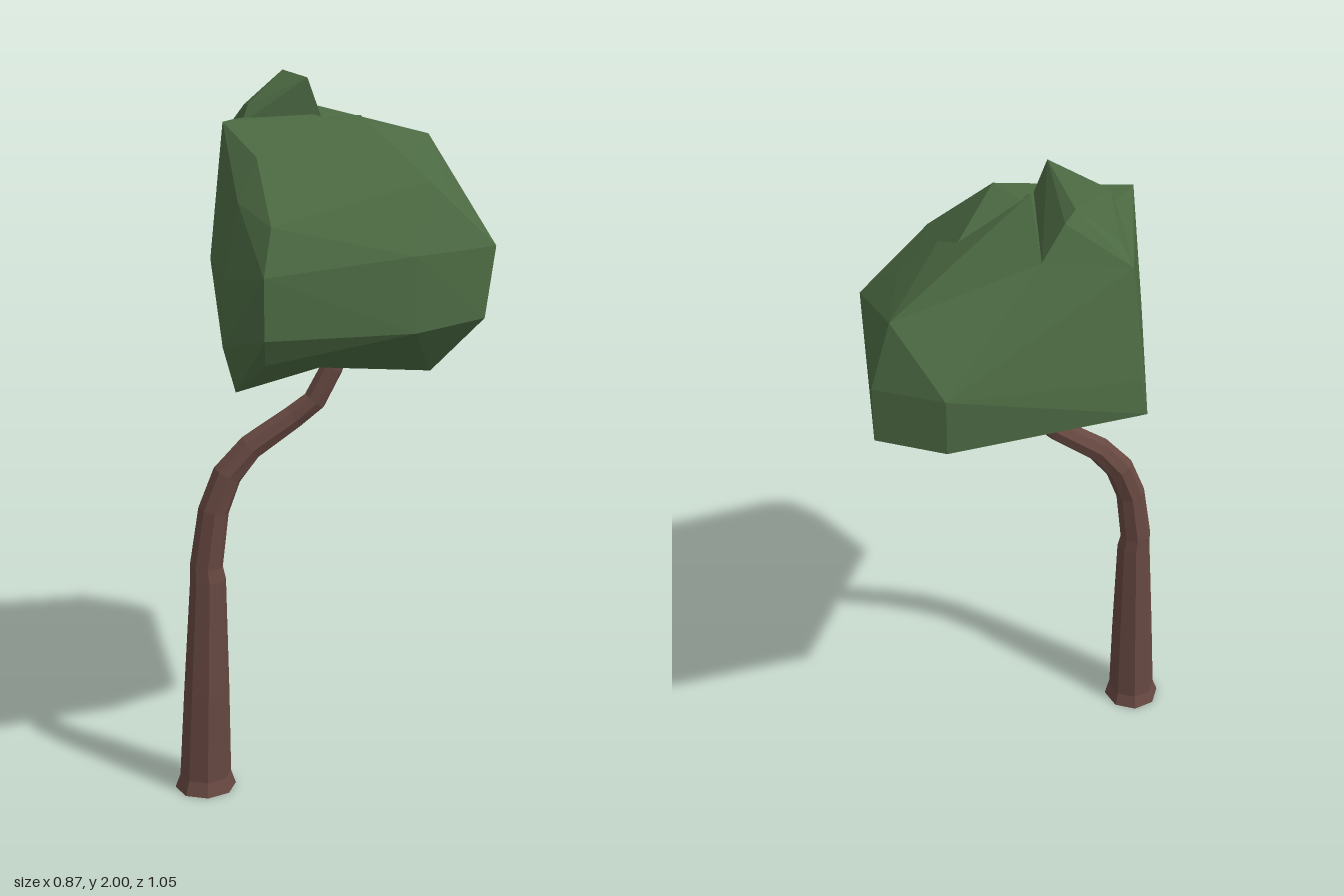
import * as THREE from 'three';
import { ConvexGeometry } from 'three/addons/geometries/ConvexGeometry.js';

const SIDES = 8;

function material(color) {
  return new THREE.MeshStandardMaterial({ color, flatShading: true });
}

// Low-poly tapered tube: each ring is [x, y, z, radius], turned to face along the path
function taperedTube(rings) {
  const points = rings.map(([x, y, z]) => new THREE.Vector3(x, y, z));
  const positions = [];
  const index = [];
  const last = rings.length - 1;
  points.forEach((p, i) => {
    const tangent = i < 2
      ? new THREE.Vector3(0, 1, 0)
      : points[Math.min(i + 1, last)].clone().sub(points[i - 1]).normalize();
    const side = new THREE.Vector3().crossVectors(tangent, new THREE.Vector3(0, 0, 1)).normalize();
    const front = new THREE.Vector3().crossVectors(side, tangent);
    for (let k = 0; k < SIDES; k++) {
      const a = ((k + 0.5) / SIDES) * Math.PI * 2;
      const v = p.clone()
        .addScaledVector(side, Math.cos(a) * rings[i][3])
        .addScaledVector(front, Math.sin(a) * rings[i][3]);
      positions.push(v.x, v.y, v.z);
    }
  });
  for (let i = 0; i < last; i++) {
    for (let k = 0; k < SIDES; k++) {
      const a = i * SIDES + k;
      const b = i * SIDES + ((k + 1) % SIDES);
      index.push(a, a + SIDES, b, b, a + SIDES, b + SIDES);
    }
  }
  const geometry = new THREE.BufferGeometry();
  geometry.setAttribute('position', new THREE.Float32BufferAttribute(positions, 3));
  geometry.setIndex(index);
  geometry.computeVertexNormals();
  return geometry;
}

// Faceted leaf mass around a few corner points
function leafMass(name, corners, mat) {
  const mesh = new THREE.Mesh(new ConvexGeometry(corners.map((c) => new THREE.Vector3(...c))), mat);
  mesh.name = name;
  return mesh;
}

export function createModel() {
  const tree = new THREE.Group();
  tree.name = 'tree';

  // Curving trunk with a flared, open foot
  const bark = material(0x674841);
  bark.side = THREE.DoubleSide;
  const trunk = new THREE.Mesh(taperedTube([
    [-0.338, 0, 0.3, 0.087],
    [-0.337, 0.04, 0.3, 0.073],
    [-0.328, 0.3, 0.3, 0.064],
    [-0.318, 0.63, 0.297, 0.05],
    [-0.322, 0.67, 0.297, 0.046],
    [-0.3, 0.83, 0.29, 0.043],
    [-0.265, 0.93, 0.272, 0.042],
    [-0.205, 1.005, 0.245, 0.038],
    [-0.095, 1.085, 0.195, 0.034],
    [-0.04, 1.13, 0.178, 0.033],
    [0.005, 1.22, 0.163, 0.031],
    [0.04, 1.34, 0.145, 0.029],
  ]), bark);
  trunk.name = 'trunk';
  tree.add(trunk);

  const leaves = material(0x4b6942);
  const canopy = new THREE.Group();
  canopy.name = 'canopy';
  tree.add(canopy);

  // Corners round the middle, shared by the two overlapping leaf masses
  const belt = [
    [0.19, 1.48, -0.52], [0.0, 1.48, -0.525], [0.19, 1.63, -0.52], [0.0, 1.63, -0.525],
    [0.43, 1.55, 0.03], [0.41, 1.36, 0.08], [0.26, 1.35, 0.285], [0.26, 1.55, 0.27],
    [-0.08, 1.36, 0.525], [-0.08, 1.52, 0.525], [-0.09, 1.29, 0.485], [-0.22, 1.32, 0.43],
    [-0.21, 1.5, 0.43], [-0.31, 1.52, 0.24], [-0.435, 1.5, -0.25], [-0.415, 1.59, -0.24],
    [-0.275, 1.88, 0.22], [-0.365, 1.86, -0.17],
  ];

  // Front mass: hangs lowest at the front, with a raised front rim
  canopy.add(leafMass('frontFoliage', [
    ...belt,
    [-0.19, 1.2, 0.42],
    [-0.075, 1.64, 0.47], [-0.185, 1.69, 0.39], [-0.15, 1.8, 0.335],
    [0.264, 1.73, 0.136], [0.07, 1.895, 0.1],
  ], leaves));

  // Back mass: hangs lowest at the left, with a ridge along the back
  canopy.add(leafMass('backFoliage', [
    ...belt,
    [0.265, 1.21, 0.09],
    [-0.04, 1.895, 0.07], [0.19, 1.76, 0.03], [0.3, 1.67, -0.01],
    [0.147, 1.805, -0.49], [0.02, 1.815, -0.37], [-0.165, 1.9, -0.28],
  ], leaves));

  // Raised crest with a steep wall on its left side
  canopy.add(leafMass('crest', [
    [-0.22, 2.0, -0.18], [-0.205, 1.98, -0.22], [-0.08, 1.99, 0.08], [-0.165, 1.9, -0.28],
    [-0.04, 1.88, 0.08], [-0.32, 1.905, -0.13], [-0.24, 1.92, 0.1], [-0.25, 1.87, 0.13],
    [-0.365, 1.86, -0.17], [-0.2, 1.7, 0.0],
  ], leaves));

  return tree;
}
